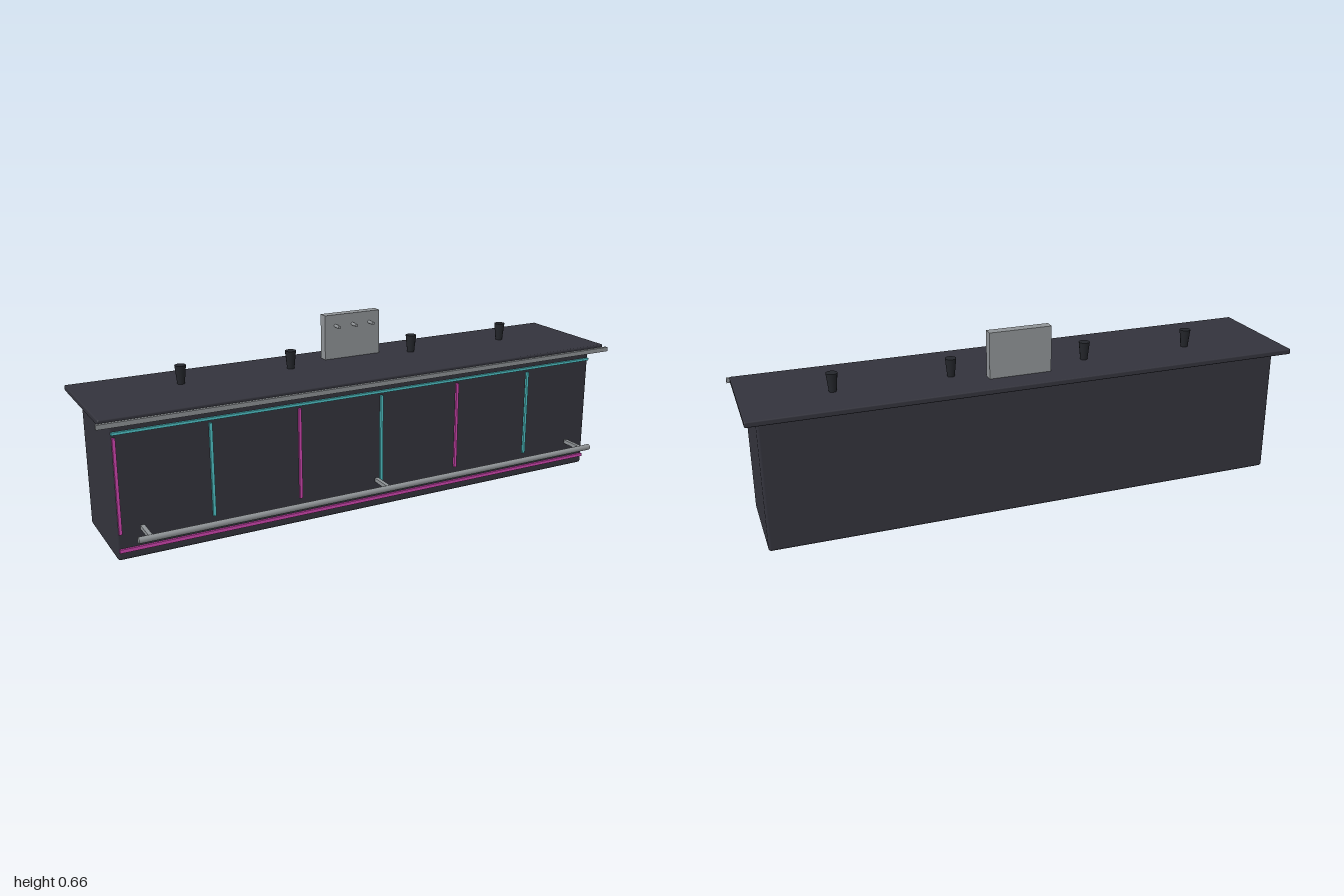
import * as THREE from 'three';
import { RoundedBoxGeometry } from 'three/addons/geometries/RoundedBoxGeometry.js';

const mat = (name, color) => Object.assign(new THREE.MeshStandardMaterial({ color }), { name });

export function createModel() {
  const group = new THREE.Group();
  const dark = mat('dark panel', 0x33333c);
  const black = mat('black handle', 0x24262b);
  const metal = mat('brushed metal', 0x8f9396);
  const cyan = mat('cyan light', 0x4fc4c8);
  const pink = mat('pink light', 0xd045b0);

  const add = (name, geometry, material, x, y, z) => {
    const mesh = new THREE.Mesh(geometry, material);
    mesh.name = name;
    mesh.position.set(x, y, z);
    group.add(mesh);
    return mesh;
  };
  // Box given by its lowest and highest corners, with an optional rounded edge
  const box = (name, material, [x0, y0, z0], [x1, y1, z1], r = 0) => {
    const size = [x1 - x0, y1 - y0, z1 - z0];
    const geometry = r ? new RoundedBoxGeometry(...size, 2, r) : new THREE.BoxGeometry(...size);
    return add(name, geometry, material, (x0 + x1) / 2, (y0 + y1) / 2, (z0 + z1) / 2);
  };

  // Counter body, top and the metal edge in front of it
  box('counterBody', dark, [-0.95, 0, -0.193], [0.95, 0.476, 0.148], 0.01);
  box('counterTop', dark, [-0.99, 0.475, -0.248], [0.99, 0.495, 0.183], 0.005);
  box('frontEdge', metal, [-1, 0.47, 0.188], [1, 0.486, 0.2]);

  // Light strips on the front
  box('upperLightStrip', cyan, [-0.945, 0.43, 0.149], [0.945, 0.439, 0.157]);
  box('lowerLightStrip', pink, [-0.945, 0.03, 0.149], [0.945, 0.042, 0.157]);
  for (let i = 0; i < 6; i++) {
    const x = -0.938 + i * 0.318;
    box('verticalLightStrip', i % 2 ? cyan : pink, [x - 0.005, 0.094, 0.149], [x + 0.005, 0.42, 0.157]);
  }

  // Foot rail and its brackets
  const rail = add('footRail', new THREE.CylinderGeometry(0.011, 0.011, 1.81, 12), metal, 0, 0.102, 0.238);
  rail.rotation.z = Math.PI / 2;
  for (const x of [-0.864, 0, 0.864]) {
    box('railBracket', metal, [x - 0.007, 0.097, 0.146], [x + 0.007, 0.111, 0.238]);
  }

  // Tapered handles standing on the counter
  for (const x of [-0.636, -0.227, 0.273, 0.682]) {
    add('taperedHandle', new THREE.CylinderGeometry(0.02, 0.013, 0.066, 12), black, x, 0.527, -0.078);
  }

  // Tap tower with three spouts
  box('tapTower', metal, [-0.068, 0.494, -0.155], [0.158, 0.66, -0.12]);
  for (const x of [-0.025, 0.045, 0.115]) {
    const spout = add('tapSpout', new THREE.CylinderGeometry(0.006, 0.006, 0.034, 10), metal, x, 0.619, -0.104);
    spout.rotation.x = Math.PI / 2;
  }
  return group;
}
